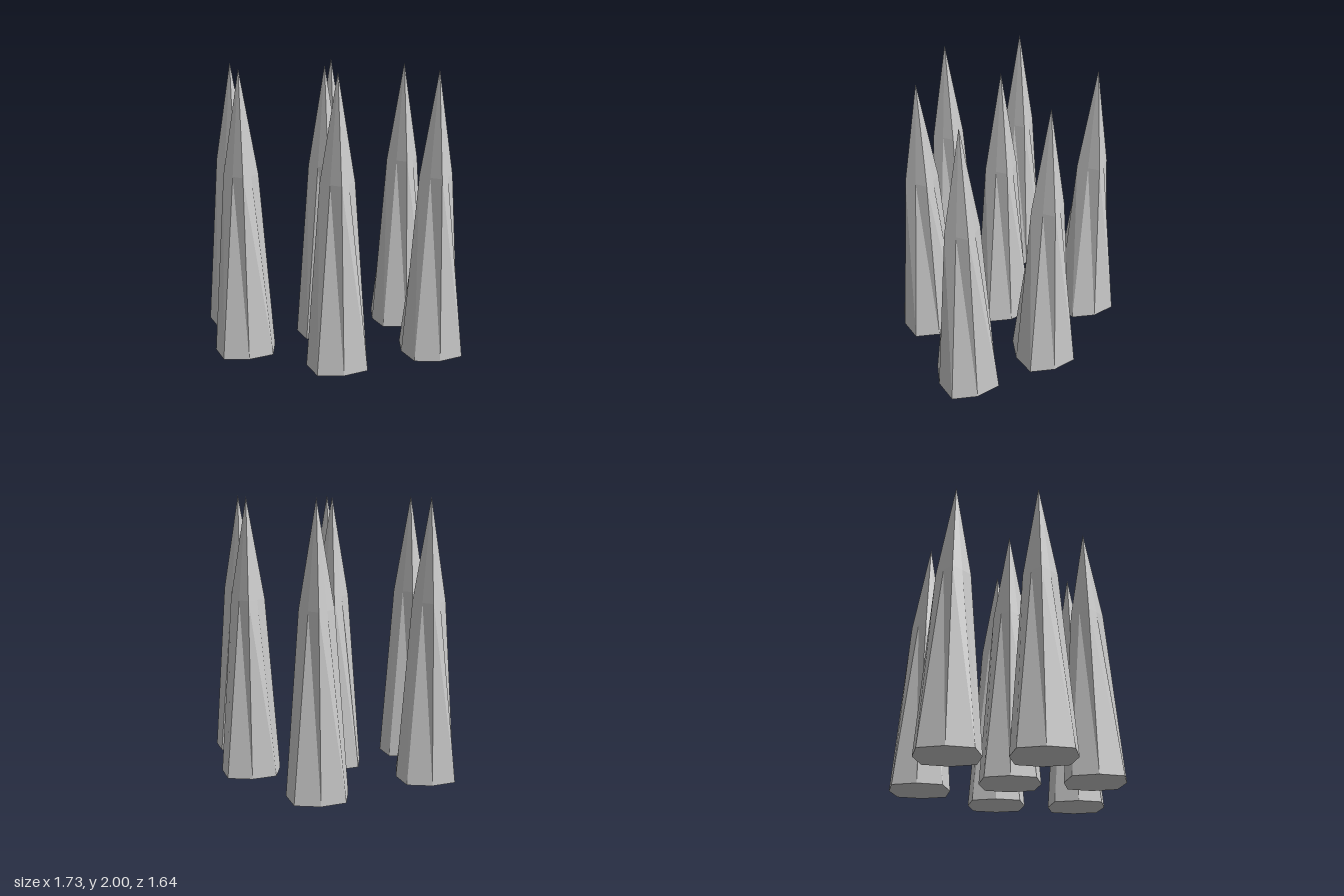
import * as THREE from 'three';

// Eight-sided ring: axis points at distance a, corner points at (±c, ±c)
function ring(a, c, y) {
  const points = [];
  for (let i = 0; i < 8; i++) {
    const r = i % 2 ? c * Math.SQRT2 : a;
    const t = (i * Math.PI) / 4;
    points.push([r * Math.sin(t), y, r * Math.cos(t)]);
  }
  return points;
}

// Faceted spike: a tall tapering shaft below a sharper pointed tip
function spikeGeometry() {
  const base = ring(0.215, 0.175, 0);
  const shoulder = ring(0.12, 0.063, 1.28);
  const apex = [0, 2, 0];
  const foot = [0, 0, 0];
  const corners = [];
  for (let i = 0; i < 8; i++) {
    const j = (i + 1) % 8;
    corners.push(
      base[i], base[j], shoulder[i],
      base[j], shoulder[j], shoulder[i],
      shoulder[i], shoulder[j], apex,
      foot, base[j], base[i]
    );
  }
  const geometry = new THREE.BufferGeometry();
  geometry.setAttribute('position', new THREE.Float32BufferAttribute(corners.flat(), 3));
  geometry.computeVertexNormals();
  return geometry;
}

export function createModel() {
  const group = new THREE.Group();
  group.name = 'spikes';
  const geometry = spikeGeometry();
  const material = new THREE.MeshStandardMaterial({ color: 0xcccccc, flatShading: true });

  // Scattered spikes, as x and z on the ground
  const places = [
    [0.17, -0.61], [-0.65, -0.365], [0.6, -0.07], [-0.02, 0.025],
    [-0.65, 0.225], [0.645, 0.54], [-0.06, 0.605],
  ];
  places.forEach(([x, z], i) => {
    const spike = new THREE.Mesh(geometry, material);
    spike.name = `spike${i + 1}`;
    spike.position.set(x, 0, z);
    group.add(spike);
  });
  return group;
}
